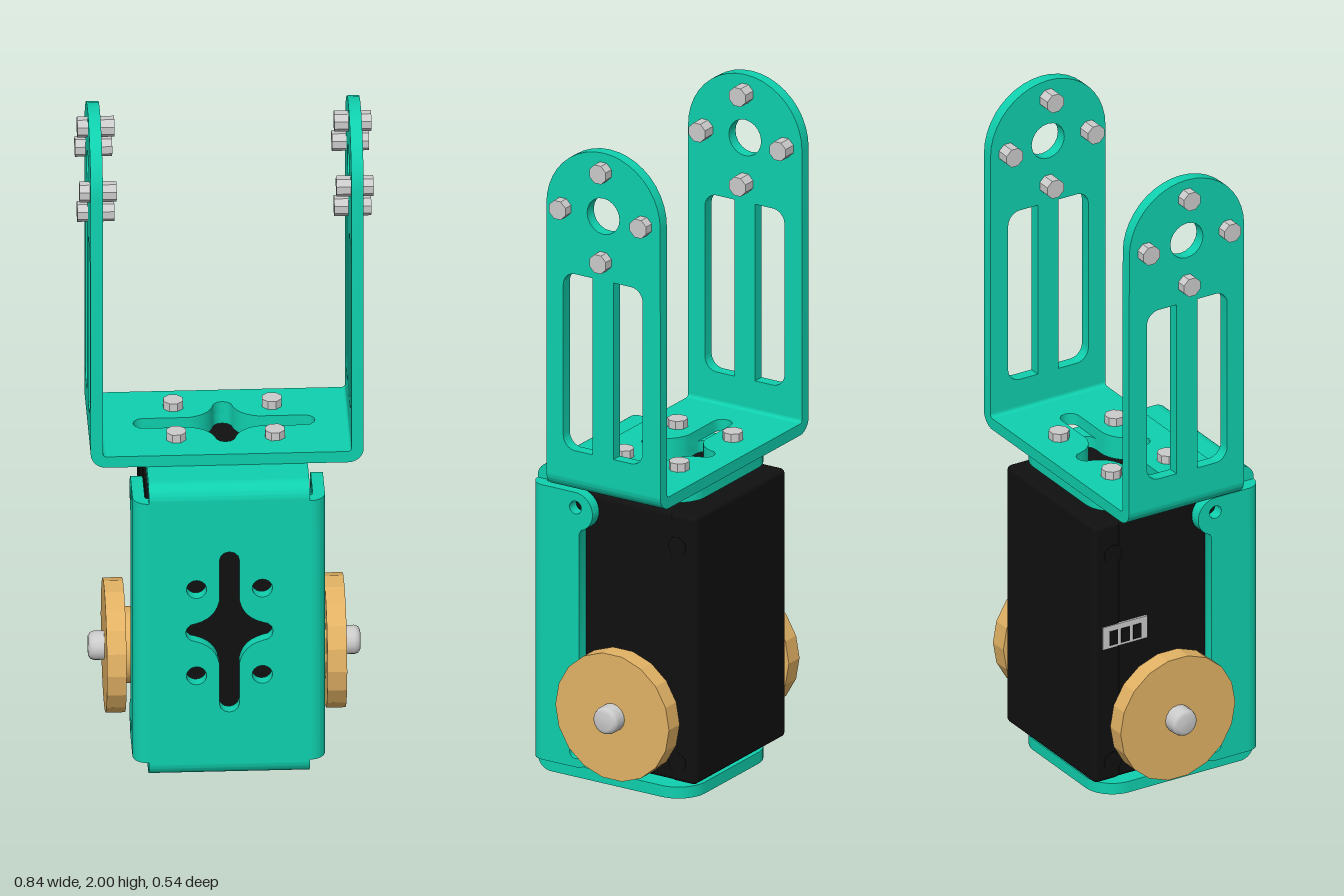
import * as THREE from 'three';
import { toCreasedNormals } from 'three/addons/utils/BufferGeometryUtils.js';
import { RoundedBoxGeometry } from 'three/addons/geometries/RoundedBoxGeometry.js';

const T = 0.035;            // sheet thickness
const R_IN = 0.01, R_OUT = 0.045; // bend radii
const ZC = -0.056;          // z of the pivot axis

const teal = new THREE.MeshStandardMaterial({ color: 0x0fd0ae });
const black = new THREE.MeshStandardMaterial({ color: 0x101010 });
const gold = new THREE.MeshStandardMaterial({ color: 0xe2b264 });
const grey = new THREE.MeshStandardMaterial({ color: 0xcccccc });

function add(parent, name, geometry, material) {
  const mesh = new THREE.Mesh(geometry, material);
  mesh.name = name;
  parent.add(mesh);
  return mesh;
}

// Extrusions: front = shape in (x, y), side = shape in (z, y), flat = shape in (x, z)
const extrude = (shape, depth) =>
  toCreasedNormals(new THREE.ExtrudeGeometry(shape, { depth, bevelEnabled: false, curveSegments: 10 }), 0.6);
const frontPlate = (shape, z, t = T) => extrude(shape, t).translate(0, 0, z - t);
const sidePlate = (shape, x, t = T) => extrude(shape, t).rotateY(-Math.PI / 2).translate(x, 0, 0);
const flatPlate = (shape, y, t = T) => extrude(shape, t).rotateX(Math.PI / 2).translate(0, y, 0);

// Rectangle with a radius per corner: lower left, lower right, upper right, upper left
function rect(x0, y0, x1, y1, r = [0, 0, 0, 0], S = THREE.Shape) {
  const s = new S(), q = Math.PI / 2;
  s.moveTo(x0 + r[0], y0);
  s.lineTo(x1 - r[1], y0);
  if (r[1]) s.absarc(x1 - r[1], y0 + r[1], r[1], -q, 0);
  s.lineTo(x1, y1 - r[2]);
  if (r[2]) s.absarc(x1 - r[2], y1 - r[2], r[2], 0, q);
  s.lineTo(x0 + r[3], y1);
  if (r[3]) s.absarc(x0 + r[3], y1 - r[3], r[3], q, 2 * q);
  s.lineTo(x0, y0 + r[0]);
  if (r[0]) s.absarc(x0 + r[0], y0 + r[0], r[0], 2 * q, 3 * q);
  return s;
}

const circle = (x, y, r) => new THREE.Path().absarc(x, y, r, 0, Math.PI * 2);

// Quarter ring for a sheet bend, starting at quadrant q
function bend(x, y, q) {
  const a = q * Math.PI / 2, b = a + Math.PI / 2;
  return new THREE.Shape().absarc(x, y, R_OUT, a, b).absarc(x, y, R_IN, b, a, true);
}

// Cross-shaped cutout with round tips and flared centre, long along x or y
function star(cx, cy, long, short, upright = false) {
  const r = 0.029, f = 0.1, pts = [];
  const tip = (d, a) => {
    for (let i = 0; i <= 6; i++) {
      const t = -Math.PI / 2 + Math.PI * i / 6;
      const u = d - r + r * Math.cos(t), v = r * Math.sin(t);
      pts.push([u * Math.cos(a) - v * Math.sin(a), u * Math.sin(a) + v * Math.cos(a)]);
    }
  };
  const flare = (sx, sy, rev) => {
    const c = new THREE.QuadraticBezierCurve(new THREE.Vector2(sx * f, sy * r),
      new THREE.Vector2(sx * 0.045, sy * 0.04), new THREE.Vector2(sx * r, sy * (short - r)));
    const p = c.getPoints(6).slice(0, 6).map(v => [v.x, v.y]);
    pts.push(...(rev ? p.reverse() : p));
  };
  tip(long, 0); flare(1, 1, false);
  tip(short, Math.PI / 2); flare(-1, 1, true);
  tip(long, Math.PI); flare(-1, -1, false);
  tip(short, -Math.PI / 2); flare(1, -1, true);
  return new THREE.Path(pts.map(([u, v]) => upright
    ? new THREE.Vector2(cx - v, cy + u) : new THREE.Vector2(cx + u, cy + v)));
}

function bolt(parent, length, x, y, z, alongX) {
  const g = new THREE.CylinderGeometry(0.03, 0.03, length, 8).toNonIndexed().rotateY(Math.PI / 8);
  if (alongX) g.rotateZ(Math.PI / 2);
  g.computeVertexNormals();
  add(parent, 'bolt', g, grey).position.set(x, y, z);
}

// U-shaped upper bracket
function upperBracket() {
  const g = new THREE.Group();
  g.name = 'upperBracket';
  const z0 = -0.25, z1 = 0.137, half = (z1 - z0) / 2, pivotY = 2 - half;

  const base = rect(-0.345, z0, 0.345, z1);
  base.holes.push(star(0, -0.059, 0.26, 0.12));
  add(g, 'bracketBase', flatPlate(base, 0.975), teal);

  const arm = new THREE.Shape();
  arm.moveTo(z0, 0.985);
  arm.lineTo(z1, 0.985);
  arm.absarc(ZC, pivotY, half, 0, Math.PI);
  arm.closePath();
  arm.holes.push(circle(ZC, pivotY, 0.055),
    rect(-0.19, 1.07, -0.09, 1.61, [0.04, 0, 0, 0.04], THREE.Path),
    rect(-0.02, 1.07, 0.08, 1.61, [0, 0.04, 0.04, 0], THREE.Path));

  for (const s of [-1, 1]) {
    add(g, 'arm', sidePlate(arm, s > 0 ? 0.39 : -0.39 + T), teal);
    add(g, 'armBend', frontPlate(bend(s * 0.345, 0.985, s > 0 ? 3 : 2), z1, z1 - z0), teal);
    for (let i = 0; i < 4; i++) {
      const a = i * Math.PI / 2;
      bolt(g, 0.106, s * 0.367, pivotY + 0.137 * Math.sin(a), ZC + 0.137 * Math.cos(a), true);
    }
    for (const z of [-0.153, 0.035]) bolt(g, 0.1, s * 0.141, 0.95, z, false);
  }
  return g;
}

// Folded housing bracket: front plate, top and bottom flanges, eared sides
function lowerBracket() {
  const g = new THREE.Group();
  g.name = 'lowerBracket';

  const front = rect(-0.23, 0.045, 0.23, 0.895);
  front.holes.push(star(0, 0.47, 0.26, 0.125, true));
  for (const x of [-0.094, 0.094]) for (const y of [0.33, 0.61]) front.holes.push(circle(x, y, 0.029));
  add(g, 'frontPlate', frontPlate(front, 0.27), teal);

  const flange = rect(-0.23, -0.24, 0.23, 0.225, [0.09, 0.09, 0, 0]);
  flange.holes.push(star(0, -0.059, 0.17, 0.12));
  for (const x of [-0.141, 0.141]) for (const z of [-0.153, 0.035]) flange.holes.push(circle(x, z, 0.029));
  add(g, 'topFlange', flatPlate(flange, 0.94), teal);
  add(g, 'bottomFlange', flatPlate(flange, T), teal);
  add(g, 'topBend', sidePlate(bend(0.225, 0.895, 0), 0.23, 0.46), teal);
  add(g, 'bottomBend', sidePlate(bend(0.225, 0.045, 3), 0.23, 0.46), teal);

  // Side flange with a round ear at the top and bottom
  const q = Math.PI / 2, er = 0.058, ez = 0.113, lo = 0.05, hi = 0.89;
  const side = new THREE.Shape();
  side.moveTo(0.225, lo);
  side.lineTo(0.225, hi);
  side.lineTo(ez, hi);
  side.absarc(ez, hi - er, er, q, 2 * q + 1.25);
  side.lineTo(0.1, hi - 0.125);
  side.lineTo(0.1, lo + 0.125);
  side.absarc(ez, lo + er, er, 2 * q - 1.25, 3 * q);
  side.closePath();
  side.holes.push(circle(ez, hi - 0.046, 0.02), circle(ez, lo + 0.046, 0.02));
  for (const s of [-1, 1]) {
    add(g, 'sideFlange', sidePlate(side, s > 0 ? 0.275 : -0.275 + T), teal);
    add(g, 'sideBend', flatPlate(bend(s * 0.23, 0.225, s > 0 ? 0 : 1), hi, hi - lo), teal);
  }
  return g;
}

// Motor housing with a raised back cover and a side socket
function motor() {
  const g = new THREE.Group();
  g.name = 'motor';
  add(g, 'motorBody', new RoundedBoxGeometry(0.47, 0.82, 0.415, 2, 0.015), black).position.set(0, 0.47, -0.0575);
  add(g, 'backCover', new RoundedBoxGeometry(0.478, 0.82, 0.09, 2, 0.015), black).position.set(0, 0.47, -0.227);
  add(g, 'socket', new THREE.BoxGeometry(0.01, 0.07, 0.15), grey).position.set(-0.237, 0.52, -0.17);
  for (const z of [-0.21, -0.17, -0.13])
    add(g, 'socketOpening', new THREE.BoxGeometry(0.01, 0.045, 0.028), black).position.set(-0.239, 0.515, z);
  for (const s of [-1, 1]) for (const y of [0.12, 0.78])
    add(g, 'caseScrew', new THREE.CylinderGeometry(0.03, 0.03, 0.01, 12).rotateZ(Math.PI / 2), black)
      .position.set(s * 0.236, y, -0.21);
  return g;
}

// Output disc with hub and rounded cap screw
function wheel(s) {
  const g = new THREE.Group();
  g.name = s > 0 ? 'leftDisc' : 'rightDisc';
  const turn = (geo) => geo.rotateZ(-s * Math.PI / 2);
  const disc = turn(new THREE.CylinderGeometry(0.193, 0.193, 0.056, 18));
  add(g, 'disc', toCreasedNormals(disc, 0.2), gold).position.x = s * 0.315;
  add(g, 'hub', turn(new THREE.CylinderGeometry(0.11, 0.11, 0.06, 18)), gold).position.x = s * 0.26;
  const cap = [[0.042, 0], [0.042, 0.03], [0.038, 0.041], [0.028, 0.047], [0, 0.048]];
  const lathe = new THREE.LatheGeometry(cap.map(p => new THREE.Vector2(...p)), 16);
  add(g, 'capScrew', turn(lathe), grey).position.x = s * 0.342;
  g.position.set(0, 0.26, ZC);
  return g;
}

export function createModel() {
  const model = new THREE.Group();
  model.name = 'servoJoint';
  model.add(upperBracket(), lowerBracket(), motor(), wheel(1), wheel(-1));
  return model;
}
